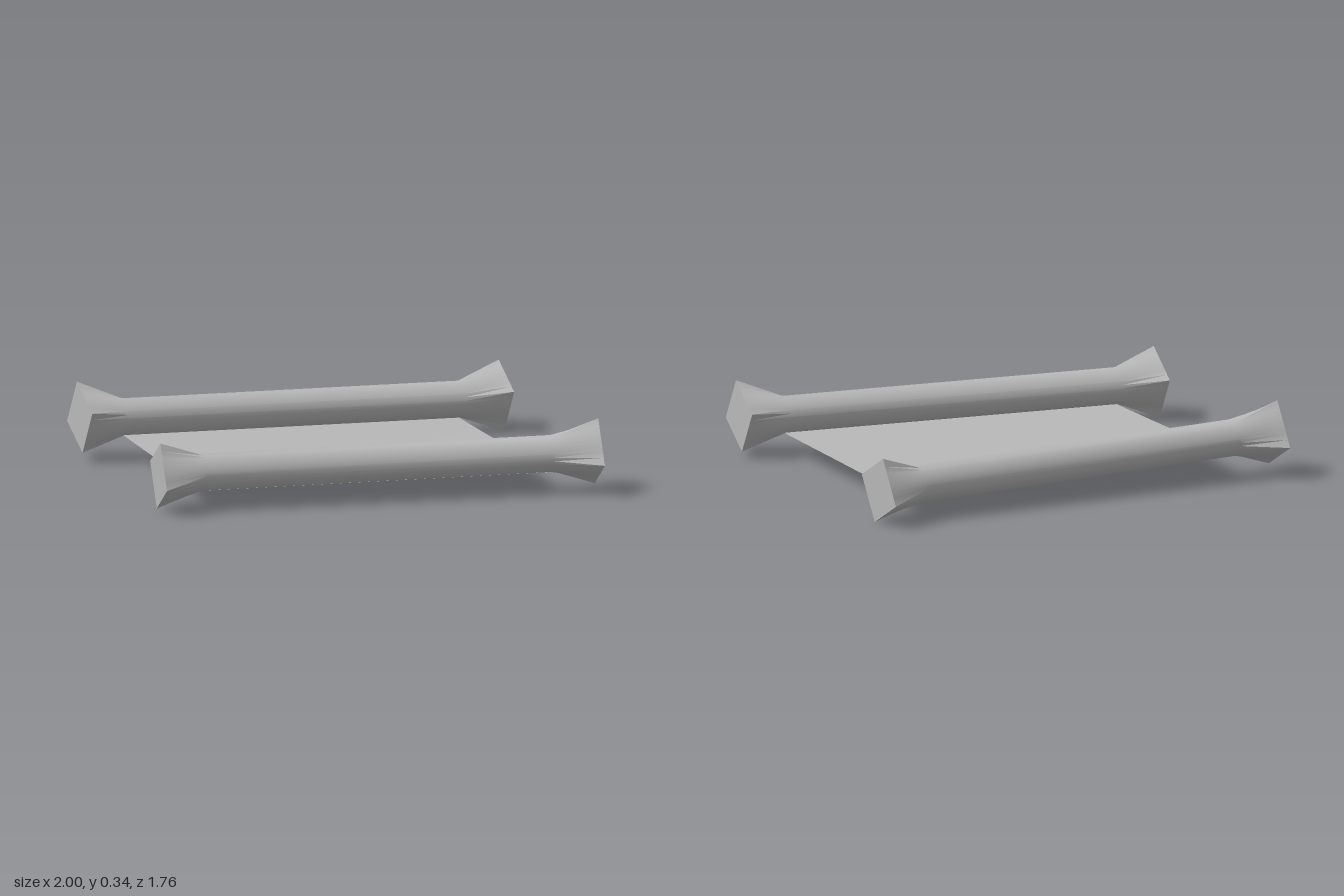
import * as THREE from 'three';
import { toCreasedNormals } from 'three/addons/utils/BufferGeometryUtils.js';

const SIDES = 32;

// Loft of tilted rings along x: round in the middle, square at both ends.
function rollGeometry(stations, cornerAngle, slopeY, slopeZ) {
  const pos = [], index = [];
  for (const { x, y, z, r, square } of stations) {
    for (let j = 0; j < SIDES; j++) {
      const t = (j / SIDES) * Math.PI * 2;
      const local = (t % (Math.PI / 2)) - Math.PI / 4;
      const rad = square ? (r * Math.SQRT1_2) / Math.cos(local) : r;
      const dz = rad * Math.cos(t + cornerAngle);
      const dy = rad * Math.sin(t + cornerAngle);
      pos.push(x - slopeZ * dz - slopeY * dy, y + dy, z + dz);
    }
  }
  const last = stations.length - 1;
  const capL = pos.length / 3, capR = capL + 1;
  for (const s of [stations[0], stations[last]]) pos.push(s.x, s.y, s.z);
  for (let j = 0; j < SIDES; j++) {
    const k = (j + 1) % SIDES;
    for (let i = 0; i < last; i++) {
      const a = i * SIDES + j, b = a + SIDES;
      const d = i * SIDES + k, c = d + SIDES;
      index.push(a, b, c, a, c, d);
    }
    index.push(capL, j, k, capR, last * SIDES + k, last * SIDES + j);
  }
  const g = new THREE.BufferGeometry();
  g.setAttribute('position', new THREE.Float32BufferAttribute(pos, 3));
  g.setIndex(index);
  return toCreasedNormals(g, 0.55);
}

export function createModel() {
  const group = new THREE.Group();
  const paper = new THREE.MeshStandardMaterial({ color: 0xb8b8b8, side: THREE.DoubleSide });
  paper.name = 'paper grey';

  const R = 0.081, END = 0.157;
  const deg = Math.PI / 180;

  // Front roll with flared square ends
  const front = [
    { x: -0.99, y: 0.164, z: 0.635, r: END, square: true },
    { x: -0.79, y: 0.168, z: 0.625, r: R },
    { x: 0.78, y: 0.176, z: 0.697, r: R },
    { x: 0.984, y: 0.182, z: 0.725, r: END, square: true },
  ];
  // Back roll, splayed the other way
  const back = [
    { x: -0.988, y: 0.194, z: -0.583, r: END, square: true },
    { x: -0.79, y: 0.186, z: -0.58, r: R },
    { x: 0.78, y: 0.153, z: -0.698, r: R },
    { x: 0.984, y: 0.152, z: -0.733, r: END, square: true },
  ];
  const frontRoll = new THREE.Mesh(rollGeometry(front, 76 * deg, 0.009, 0.047), paper);
  frontRoll.name = 'frontRoll';
  const backRoll = new THREE.Mesh(rollGeometry(back, 106 * deg, -0.022, -0.077), paper);
  backRoll.name = 'backRoll';

  // Flat sheet stretched between the undersides of the rolls
  const corners = [front[1], front[2], back[2], back[1]];
  const sheetGeo = new THREE.BufferGeometry();
  sheetGeo.setAttribute('position', new THREE.Float32BufferAttribute(
    corners.flatMap((s) => [s.x, s.y - R - 0.002, s.z]), 3));
  sheetGeo.setIndex([0, 1, 2, 0, 2, 3]);
  sheetGeo.computeVertexNormals();
  const sheet = new THREE.Mesh(sheetGeo, paper);
  sheet.name = 'sheet';

  group.add(frontRoll, backRoll, sheet);
  return group;
}
